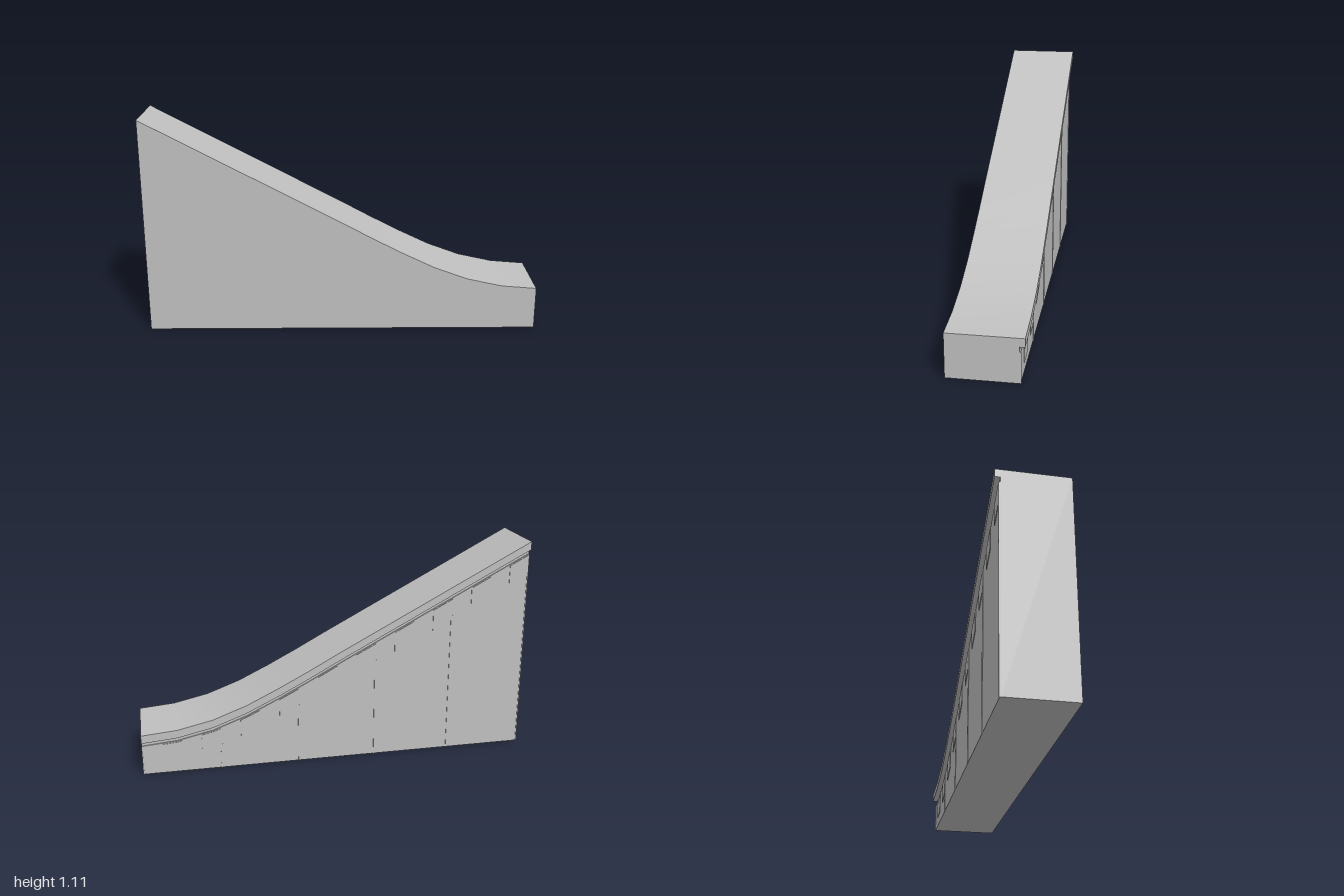
import * as THREE from 'three';
import { toCreasedNormals } from 'three/addons/utils/BufferGeometryUtils.js';

// slope line: straight run easing into a level foot
const SLOPE = [[-1, 1.11], [0, 0.58], [0.15, 0.498], [0.31, 0.415], [0.47, 0.338], [0.64, 0.275], [0.82, 0.235], [1, 0.22]];

function slopeY(x) {
  let i = 1;
  while (i < SLOPE.length - 1 && x > SLOPE[i][0]) i++;
  const [x0, y0] = SLOPE[i - 1], [x1, y1] = SLOPE[i];
  return y0 + (y1 - y0) * (x - x0) / (x1 - x0);
}

// slab between x0 and x1 that follows the slope; without a lower drop it reaches the ground
function slab(x0, x1, topDrop, lowDrop, z0, z1) {
  const inner = SLOPE.map(p => p[0]).filter(x => x > x0 + 0.001 && x < x1 - 0.001);
  const xs = [x0, ...inner, x1];
  const top = xs.map(x => new THREE.Vector2(x, slopeY(x) - topDrop));
  const low = lowDrop === null
    ? [new THREE.Vector2(x0, 0), new THREE.Vector2(x1, 0)]
    : xs.map(x => new THREE.Vector2(x, slopeY(x) - lowDrop));
  const geo = new THREE.ExtrudeGeometry(new THREE.Shape([...low, ...top.reverse()]), { depth: z1 - z0, bevelEnabled: false });
  geo.translate(0, 0, z0);
  return toCreasedNormals(geo, 0.4);
}

export function createModel() {
  const model = new THREE.Group();
  model.name = 'slopedWall';
  const stone = new THREE.MeshStandardMaterial({ color: 0xc0c0c0 });
  stone.name = 'grey stone';

  const add = (name, geo) => {
    const mesh = new THREE.Mesh(geo, stone);
    mesh.name = name;
    model.add(mesh);
  };

  // solid core, overhanging coping and back facing with a shadow gap between them
  add('core', slab(-1, 1, 0, null, -0.154, 0.18));
  add('coping', slab(-1, 1, 0, 0.042, -0.18, -0.154));
  add('backFacing', slab(-1, 1, 0.066, null, -0.16, -0.154));

  // row of raised blocks below the coping
  for (let i = 0; i < 10; i++) {
    const x = 0.8 - i * 0.2;
    add('raisedBlock', slab(x, x + 0.1, 0.072, 0.18, -0.163, -0.16));
  }

  // narrow raised ribs dividing the back into bays
  for (let i = 0; i < 6; i++) {
    const x = 1 - i * 0.4;
    add('rib', slab(Math.max(-1, x - 0.005), Math.min(1, x + 0.005), i ? 0.16 : 0.07, null, -0.163, -0.16));
  }
  return model;
}
